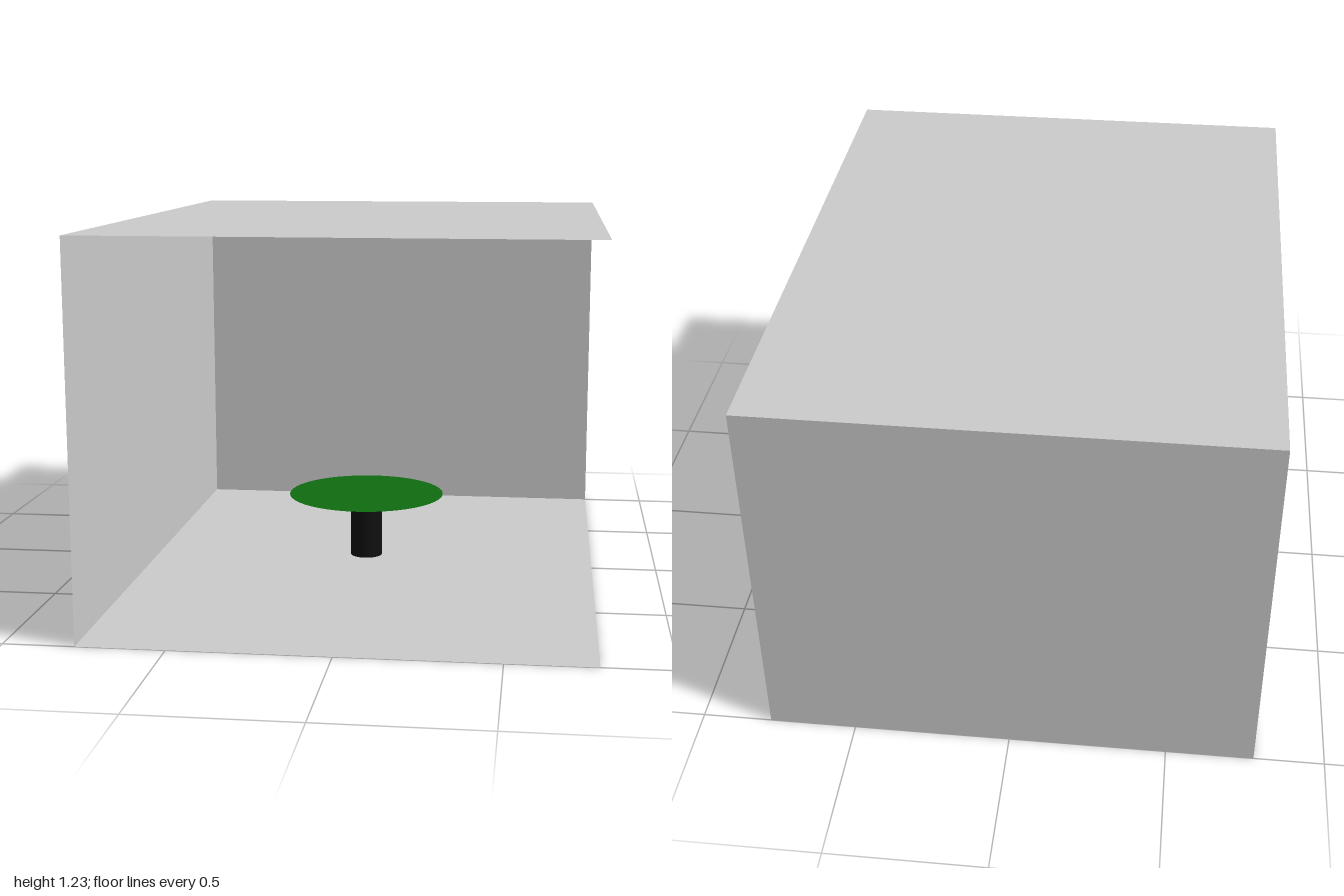
import * as THREE from 'three';

const W = 1.556, H = 1.225, D = 2;

export function createModel() {
  const group = new THREE.Group();
  const material = (color) => new THREE.MeshStandardMaterial({ color, side: THREE.DoubleSide });
  const grey = material(0xcccccc);
  const black = material(0x0f0f0f);
  const green = material(0x106c10);

  const add = (name, geometry, mat, x, y, z) => {
    const mesh = new THREE.Mesh(geometry, mat);
    mesh.name = name;
    mesh.position.set(x, y, z);
    group.add(mesh);
    return mesh;
  };

  // Room shell of thin panels, open at the front and on the +x side
  const slab = () => new THREE.PlaneGeometry(W, D).rotateX(-Math.PI / 2);
  add('floor', slab(), grey, 0, 0, 0);
  add('ceiling', slab(), grey, 0, H, 0);
  add('backWall', new THREE.PlaneGeometry(W, H), grey, 0, H / 2, -D / 2);
  add('sideWall', new THREE.PlaneGeometry(D, H).rotateY(Math.PI / 2), grey, -W / 2, H / 2, 0);

  // Round pedestal table: black stem under a flat green disc
  const tableX = -0.028, tableZ = -0.088, tableHeight = 0.228;
  add('tableStem', new THREE.CylinderGeometry(0.056, 0.056, tableHeight - 0.004, 32), black,
    tableX, tableHeight / 2, tableZ);
  add('tableTop', new THREE.CircleGeometry(0.275, 48).rotateX(-Math.PI / 2), green,
    tableX, tableHeight, tableZ);

  return group;
}
